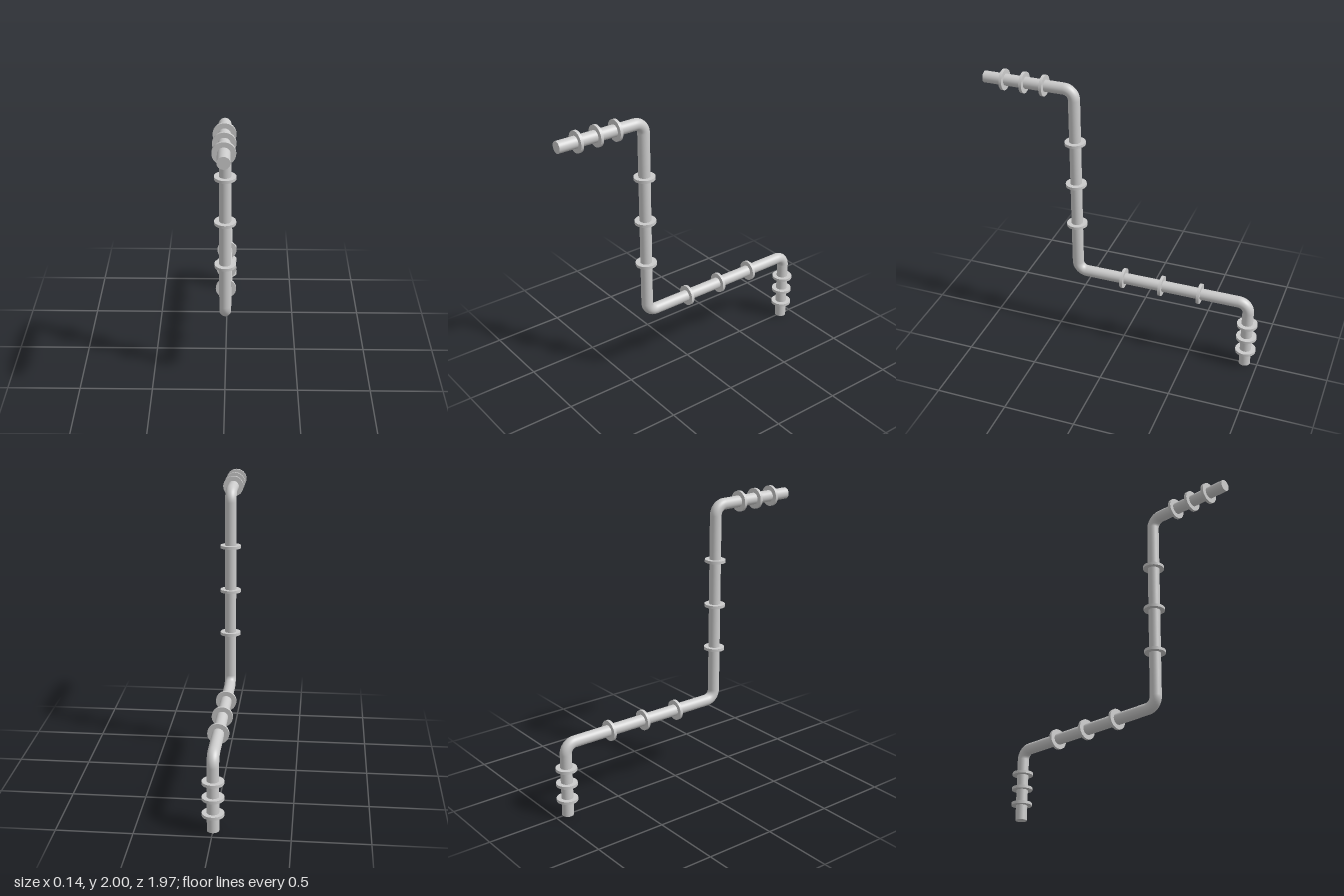
import * as THREE from 'three';

const PIPE_R = 0.04, BEND_R = 0.07, FLANGE_R = 0.072, FLANGE_T = 0.02;
const UP = new THREE.Vector3(0, 1, 0);

export function createModel() {
  const group = new THREE.Group();
  const material = new THREE.MeshStandardMaterial({ color: 0xcccccc });
  const add = (geometry, name) => {
    const mesh = new THREE.Mesh(geometry, material);
    mesh.name = name;
    group.add(mesh);
    return mesh;
  };

  // Corner points of the pipe run, from the top outlet to the foot
  const points = [[1.928, 0.985], [1.928, 0.348], [0.516, 0.348], [0.516, -0.909], [0, -0.909]]
    .map(([y, z]) => new THREE.Vector3(0, y, z));
  // Flange positions along each run (z or y), with their slight lean
  const flanges = [
    { at: [0.843, 0.70, 0.558], lean: 0 },
    { at: [1.542, 1.222, 0.904], lean: 0.03 },
    { at: [0.002, -0.28, -0.56], lean: -0.03 },
    { at: [0.339, 0.23, 0.117], lean: 0 },
  ];
  const toward = (from, to, d) => to.clone().sub(from).setLength(d).add(from);

  for (let i = 0; i < points.length - 1; i++) {
    const p = points[i], q = points[i + 1];
    const dir = q.clone().sub(p).normalize();
    const start = i > 0 ? toward(p, q, BEND_R) : p;
    const end = i < points.length - 2 ? toward(q, p, BEND_R) : q;

    // Straight pipe
    const pipe = add(new THREE.CylinderGeometry(PIPE_R, PIPE_R, start.distanceTo(end), 32), 'straightPipe');
    pipe.position.copy(start).lerp(end, 0.5);
    pipe.quaternion.setFromUnitVectors(UP, dir);

    // Flange rings
    const { at, lean } = flanges[i];
    const axis = dir.y ? 'y' : 'z';
    for (const a of at) {
      const flange = add(new THREE.CylinderGeometry(FLANGE_R, FLANGE_R, FLANGE_T, 32), 'flange');
      flange.position.copy(p);
      flange.position[axis] = a;
      flange.rotation.x = (axis === 'z' ? Math.PI / 2 : 0) + lean;
    }

    // Quarter-circle elbow to the next run
    if (i < points.length - 2) {
      const next = toward(q, points[i + 2], BEND_R);
      const arc = new THREE.CubicBezierCurve3(
        end, end.clone().lerp(q, 0.5523), next.clone().lerp(q, 0.5523), next);
      add(new THREE.TubeGeometry(arc, 12, PIPE_R, 32), 'elbow');
    }
  }
  return group;
}
